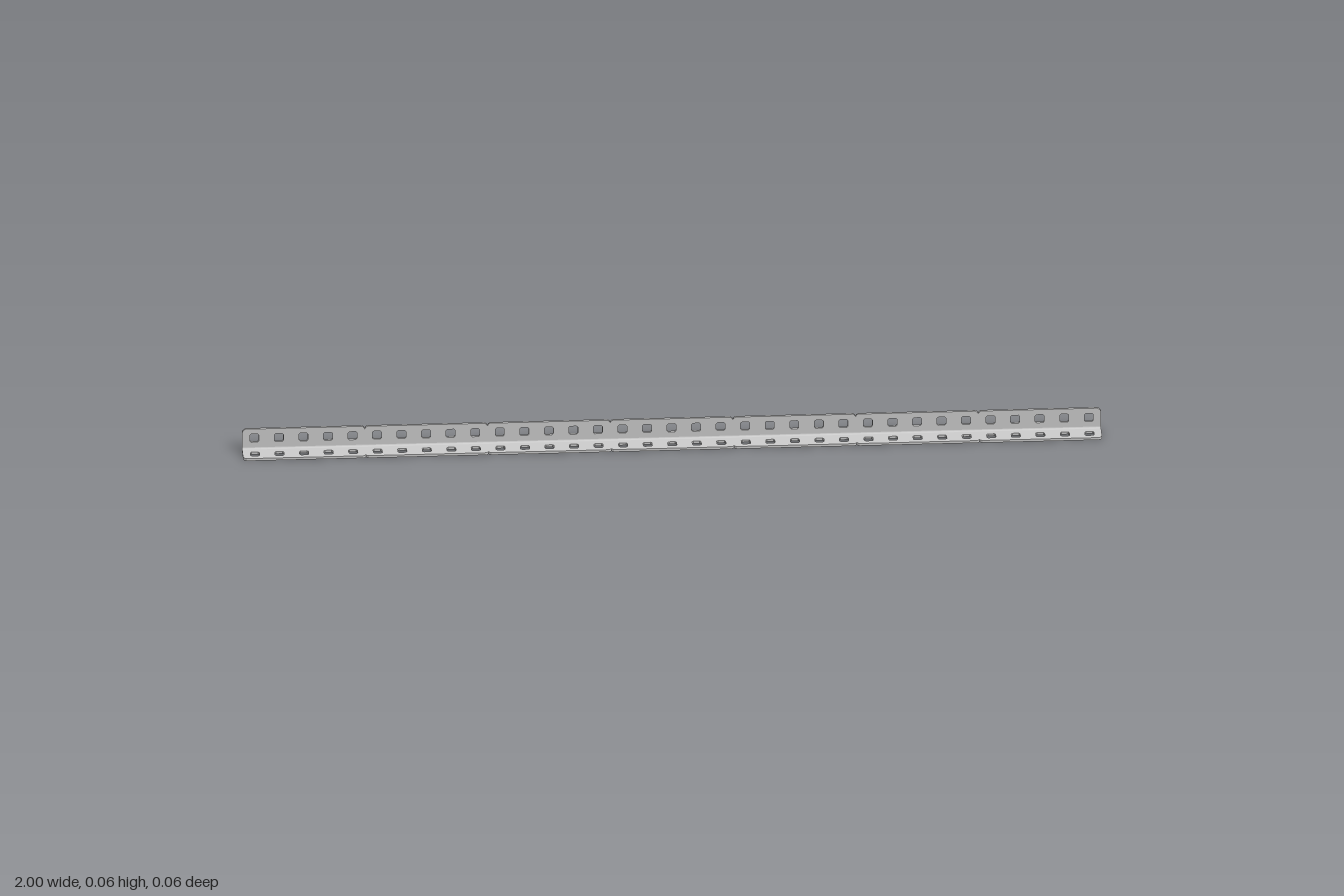
import * as THREE from 'three';
import { toCreasedNormals } from 'three/addons/utils/BufferGeometryUtils.js';

const COUNT = 35;           // holes along the bar
const PITCH = 2 / COUNT;    // hole spacing, also the flange width
const W = PITCH;
const T = 0.006;            // sheet thickness
const R = 0.010;            // outer bend radius
const HOLE = 0.0104;        // half size of a square hole
const HOLE_D = 0.0335;      // hole centre distance from the bend corner
const CH = 0.0085;          // corner chamfer at the bar ends
const NOTCH = 0.0065;       // notch between five-hole segments

// Square hole with clipped corners
function squareHole(cx, cy) {
  const a = HOLE, b = HOLE * 0.72;
  const pts = [[-b, -a], [-a, -b], [-a, b], [-b, a], [b, a], [a, b], [a, -b], [b, -a]];
  return new THREE.Path(pts.map(([x, y]) => new THREE.Vector2(cx + x, cy + y)));
}

// Flat perforated flange: x along the bar, y away from the bend
function flangeGeometry() {
  const s = new THREE.Shape();
  s.moveTo(-1, R);
  s.lineTo(1, R);
  s.lineTo(1, W - CH);
  s.lineTo(1 - CH * 0.35, W - CH * 0.35);
  s.lineTo(1 - CH, W);
  for (let i = 6; i >= 1; i--) {
    const x = -1 + i * 5 * PITCH;
    s.lineTo(x + NOTCH, W);
    s.lineTo(x + NOTCH * 0.3, W - NOTCH * 0.4);
    s.lineTo(x, W - NOTCH);
    s.lineTo(x - NOTCH * 0.3, W - NOTCH * 0.4);
    s.lineTo(x - NOTCH, W);
  }
  s.lineTo(-1 + CH, W);
  s.lineTo(-1 + CH * 0.35, W - CH * 0.35);
  s.lineTo(-1, W - CH);
  s.closePath();
  for (let i = 0; i < COUNT; i++) s.holes.push(squareHole(-1 + (i + 0.5) * PITCH, HOLE_D));
  return new THREE.ExtrudeGeometry(s, { depth: T, bevelEnabled: false });
}

// Quarter-round bend joining the flanges
function bendGeometry() {
  const s = new THREE.Shape();
  const cx = W / 2 - R;
  s.absarc(cx, R, R, -Math.PI / 2, 0, false);
  s.lineTo(cx + R - T, R);
  s.absarc(cx, R, R - T, 0, -Math.PI / 2, true);
  s.closePath();
  const g = new THREE.ExtrudeGeometry(s, { depth: 2, bevelEnabled: false, curveSegments: 8 });
  g.translate(0, 0, -1);
  g.rotateY(Math.PI / 2);
  return toCreasedNormals(g, Math.PI / 6);
}

export function createModel() {
  const group = new THREE.Group();
  group.name = 'perforatedAngleBar';
  const material = new THREE.MeshStandardMaterial({ color: 0xcccccc });
  const add = (name, geometry) => {
    const mesh = new THREE.Mesh(geometry, material);
    mesh.name = name;
    group.add(mesh);
  };

  // Upright flange at the back
  add('uprightFlange', flangeGeometry().translate(0, 0, -W / 2));

  // Flat flange on the ground
  add('baseFlange', flangeGeometry().rotateX(Math.PI / 2).translate(0, T, -W / 2));

  add('bend', bendGeometry());
  return group;
}
